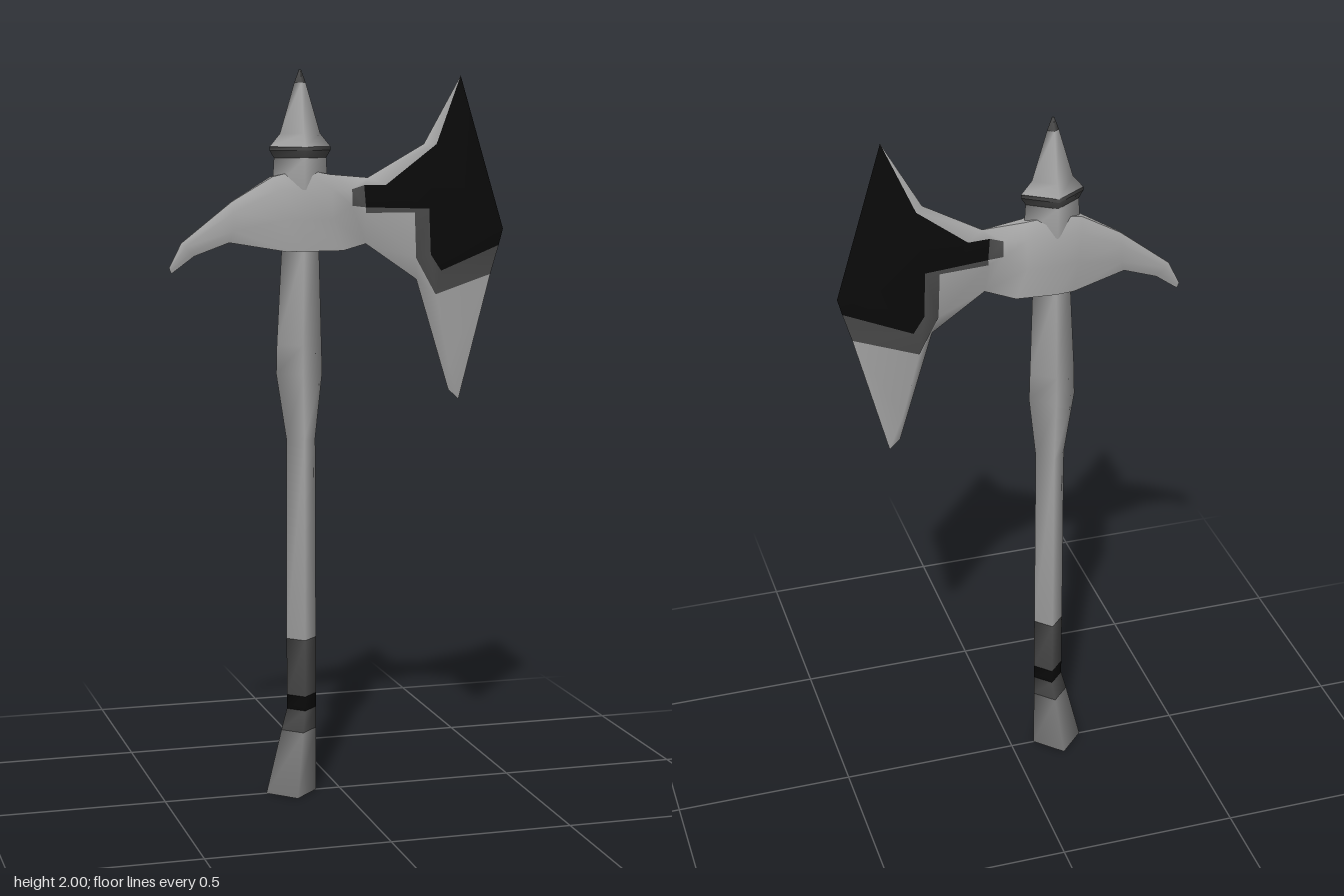
import * as THREE from 'three';

const mat = (name, color) => {
  const m = new THREE.MeshStandardMaterial({ color });
  m.name = name;
  return m;
};

function geometryFrom(positions, indices) {
  const g = new THREE.BufferGeometry();
  g.setAttribute('position', new THREE.Float32BufferAttribute(positions, 3));
  g.setIndex(indices);
  g.computeVertexNormals();
  return g;
}

// Diamond-section loft; each ring is [y, centreX, radiusX, radiusZ]
function diamondLoft(rings) {
  const pos = [], idx = [];
  rings.forEach(([y, cx, rx, rz], i) => {
    for (let k = 0; k < 4; k++) {
      const a = k * Math.PI / 2;
      pos.push(cx + Math.cos(a) * rx, y, Math.sin(a) * rz);
      if (i === rings.length - 1) continue;
      const p = i * 4 + k, q = i * 4 + (k + 1) % 4;
      idx.push(p, p + 4, q, q, p + 4, q + 4);
    }
  });
  return geometryFrom(pos, idx);
}

// Head columns from beak tip to blade root: top, upper, lower, bottom
const columns = [
  [[-0.473, 1.475, 0], [-0.472, 1.471, 0], [-0.47, 1.465, 0], [-0.466, 1.46, 0]],
  [[-0.44, 1.54, 0.002], [-0.43, 1.53, 0.008], [-0.415, 1.515, 0.008], [-0.405, 1.505, 0.004]],
  [[-0.30, 1.65, 0.004], [-0.30, 1.62, 0.018], [-0.30, 1.57, 0.018], [-0.31, 1.54, 0.01]],
  [[-0.19, 1.715, 0.012], [-0.18, 1.68, 0.038], [-0.17, 1.60, 0.043], [-0.16, 1.515, 0.04]],
  [[-0.11, 1.735, 0.03], [-0.11, 1.68, 0.048], [-0.11, 1.60, 0.05], [-0.11, 1.515, 0.046]],
  [[-0.03, 1.72, 0.012], [-0.03, 1.68, 0.038], [-0.03, 1.60, 0.043], [0, 1.515, 0.038]],
];

// Blade points: outline at z = 0, inner points raised
const blade = {
  T0: [0.08, 1.71, 0], T1: [0.24, 1.80, 0], T2: [0.345, 1.985, 0], E: [0.472, 1.565, 0],
  L2: [0.345, 1.093, 0], L1: [0.315, 1.12, 0], L0: [0.22, 1.43, 0], R0: [0.075, 1.53, 0],
  A: [0.03, 1.68, 0.022], N: [0.065, 1.69, 0.018], B: [0.125, 1.69, 0.023], C: [0.265, 1.80, 0.036],
  G: [0.03, 1.635, 0.023], H: [0.07, 1.63, 0.019], I: [0.245, 1.625, 0.036], J: [0.25, 1.50, 0.037],
  K: [0.28, 1.455, 0.037], M: [0.46, 1.52, 0], F: [0.43, 1.565, 0.02],
  h: [0.07, 1.615, 0.019], i: [0.205, 1.615, 0.032], j: [0.21, 1.49, 0.031],
  k: [0.265, 1.39, 0.035], m: [0.436, 1.44, 0], P: [0.31, 1.20, 0.018],
};

const bladeFaces = {
  light: 'T0 A N,T0 N B,T0 B C T1,T1 C T2,G R0 h H,h R0 j i,R0 L0 j,j L0 k,k L0 P,L0 L1 P,L1 L2 P,P L2 m,k P m',
  dark: 'A G H N,H h i I,I i j J,J j k K,K k m M',
  black: 'N H I B,B I C,C I F,T2 C F,T2 F E,I J F,J K F,K M F,F M E',
};

// One side of the head, with a group per colour
function headSide(sign) {
  const names = Object.keys(blade);
  const pts = [...names.map(n => blade[n]), ...columns.flat()];
  const id = n => names.indexOf(n);
  const grid = columns.map((c, i) => c.map((_, r) => names.length + i * 4 + r));
  grid.push(['T0', 'A', 'G', 'R0'].map(id));
  const faces = Object.values(bladeFaces).map(s => s.split(',').map(f => f.split(' ').map(id)));
  for (let i = 0; i < grid.length - 1; i++)
    for (let r = 0; r < 3; r++)
      faces[0].push([grid[i][r], grid[i][r + 1], grid[i + 1][r + 1], grid[i + 1][r]]);

  const idx = [], groups = [];
  faces.forEach((list, g) => {
    const start = idx.length;
    for (const f of list) for (let n = 1; n < f.length - 1; n++) {
      const [a, b, c] = [f[0], f[n], f[n + 1]];
      const [p, q, s] = [pts[a], pts[b], pts[c]];
      const area = (q[0] - p[0]) * (s[1] - p[1]) - (q[1] - p[1]) * (s[0] - p[0]);
      idx.push(...(area * sign > 0 ? [a, b, c] : [a, c, b]));
    }
    groups.push([start, idx.length - start, g]);
  });
  const geo = geometryFrom(pts.flatMap(([x, y, z]) => [x, y, z * sign]), idx);
  groups.forEach(g => geo.addGroup(...g));
  return geo;
}

// Strip joining the two head sides along the top (row 0) or underside (row 3)
function headStrip(row) {
  const line = [...columns.map(c => c[row]), row ? blade.R0 : blade.T0];
  const pos = line.flatMap(([x, y, z]) => [x, y, z, x, y, -z]);
  const idx = [];
  for (let i = 0; i < line.length - 1; i++) {
    const a = i * 2, b = a + 1, c = a + 2, d = a + 3;
    idx.push(...(row ? [a, d, c, a, b, d] : [a, c, d, a, d, b]));
  }
  return geometryFrom(pos, idx);
}

export function createModel() {
  const model = new THREE.Group();
  model.name = 'battleAxe';
  const light = mat('light steel', 0xa6a6a6);
  const mid = mat('pommel grey', 0x7c7c7c);
  const dark = mat('dark grey', 0x4a4a4a);
  const black = mat('black', 0x0a0a0a);
  const add = (name, geo, material) => {
    const mesh = new THREE.Mesh(geo, material);
    mesh.name = name;
    model.add(mesh);
  };
  const X = -0.11;
  const part = (name, material, rings) => add(name, diamondLoft(rings), material);

  // Pommel and grip
  part('pommelBase', mid, [[0, -0.14, 0, 0], [0, -0.14, 0.072, 0.072]]);
  part('pommel', mid, [[0, -0.14, 0.072, 0.072], [0.18, -0.118, 0.05, 0.05]]);
  part('lowerWrap', dark, [[0.18, -0.118, 0.05, 0.05], [0.24, X, 0.042, 0.042]]);
  part('gripBand', black, [[0.24, X, 0.042, 0.042], [0.28, X, 0.042, 0.042]]);
  part('upperWrap', dark, [[0.28, X, 0.042, 0.042], [0.44, X, 0.042, 0.042]]);

  // Shaft swelling below the head
  part('shaft', light, [[0.44, X, 0.042, 0.042], [1.0, X, 0.041, 0.041],
    [1.18, -0.114, 0.065, 0.042], [1.26, -0.114, 0.063, 0.042], [1.53, X, 0.052, 0.042]]);

  // Neck, collar and top spike
  part('neck', light, [[1.68, X, 0.078, 0.05], [1.765, X, 0.073, 0.05]]);
  part('collarUnderside', dark, [[1.765, X, 0.073, 0.05], [1.785, X, 0.085, 0.057]]);
  part('collarRim', dark, [[1.785, X, 0.085, 0.057], [1.795, X, 0.085, 0.057]]);
  part('spike', light, [[1.795, X, 0.085, 0.057], [1.83, X, 0.056, 0.042], [1.965, X, 0.016, 0.014]]);
  part('spikeTip', dark, [[1.965, X, 0.016, 0.014], [2.0, X, 0.003, 0.003], [2.0, X, 0, 0]]);

  // Axe head with rear beak
  const headMaterials = [light, dark, black];
  add('headFront', headSide(1), headMaterials);
  add('headBack', headSide(-1), headMaterials);
  add('headTop', headStrip(0), light);
  add('headUnderside', headStrip(3), light);
  return model;
}
